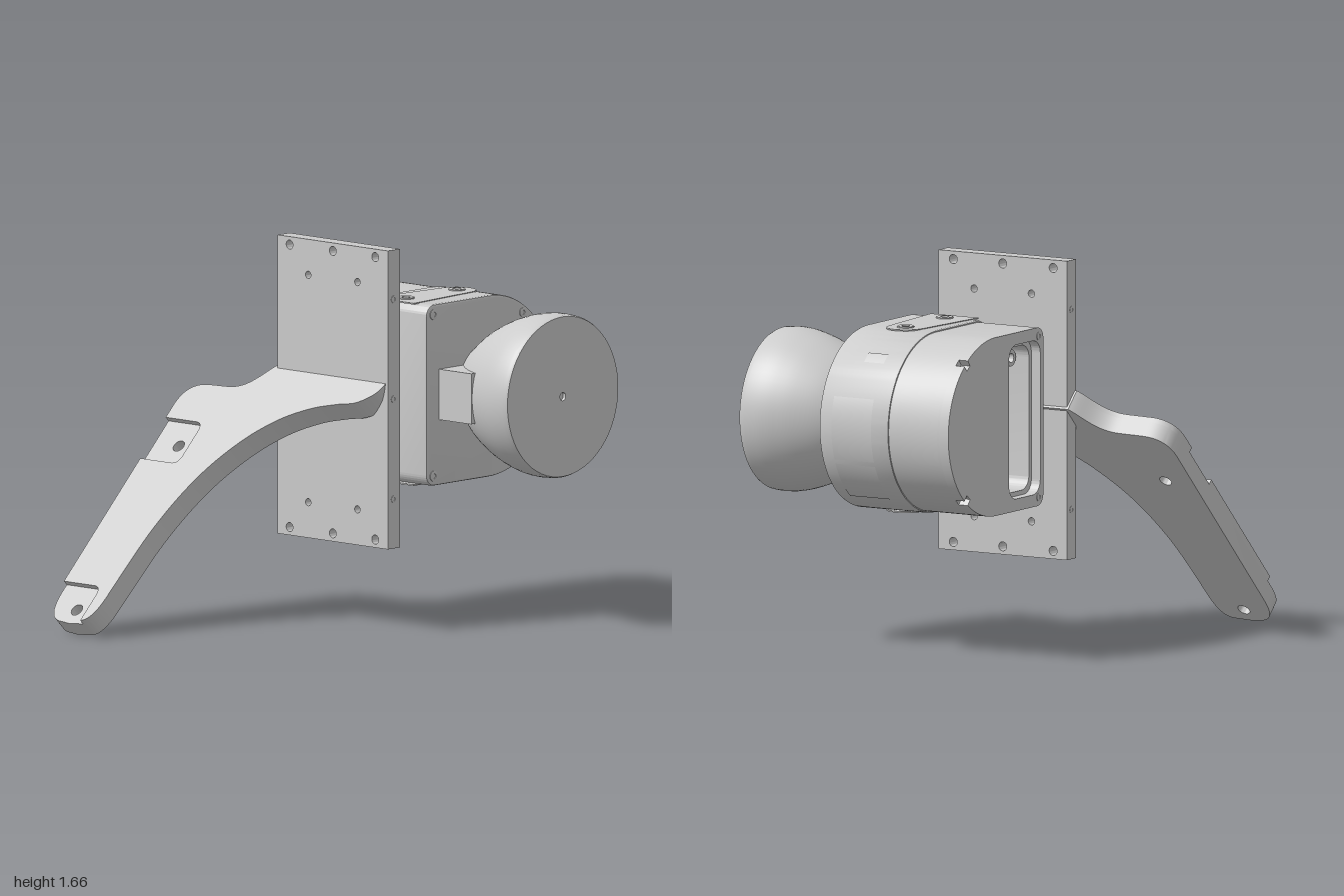
import * as THREE from 'three';
import { toCreasedNormals } from 'three/addons/utils/BufferGeometryUtils.js';

const CX = 0.6, CY = 1.015; // axis of the round housing
const material = new THREE.MeshStandardMaterial({ color: 0xcccccc, side: THREE.DoubleSide });

export function createModel() {
  const root = new THREE.Group();

  const add = (name, geometry, x = 0, y = 0, z = 0) => {
    const mesh = new THREE.Mesh(geometry, material);
    mesh.name = name;
    mesh.position.set(x, y, z);
    root.add(mesh);
    return mesh;
  };
  const extrude = (shape, depth, options = {}) => toCreasedNormals(
    new THREE.ExtrudeGeometry(shape, { depth, bevelEnabled: false, curveSegments: 28, ...options }), 0.5);
  const hole = (shape, x, y, rx, ry = rx) =>
    shape.holes.push(new THREE.Path().absellipse(x, y, rx, ry, 0, Math.PI * 2, true));

  // Socket-head fastener pointing along a direction
  const screw = (name, pos, dir, r, h) => {
    const profile = [[r, -0.005], [r, h * 0.8], [r * 0.92, h], [r * 0.5, h], [r * 0.5, h * 0.15], [0, h * 0.15]];
    const geometry = new THREE.LatheGeometry(profile.map(p => new THREE.Vector2(...p)), 20);
    const mesh = add(name, toCreasedNormals(geometry, 0.5), ...pos);
    mesh.quaternion.setFromUnitVectors(new THREE.Vector3(0, 1, 0), new THREE.Vector3(...dir));
  };

  // ---- Mounting plate with through holes ----
  const plate = new THREE.Shape();
  plate.moveTo(-0.34, 0.37).lineTo(0.31, 0.37).lineTo(0.31, 1.67).lineTo(-0.34, 1.67).closePath();
  for (const y of [0.405, 1.635]) for (const z of [0.235, -0.015, -0.27]) hole(plate, z, y, 0.02);
  for (const y of [0.525, 1.515]) for (const z of [0.13, -0.16]) hole(plate, z, y, 0.016);
  add('mountingPlate', extrude(plate, 0.075).rotateY(-Math.PI / 2), 0.065);
  for (const y of [0.585, 1.02, 1.455]) {
    screw('plateEdgeInsert', [0.027, y, 0.31], [0, 0, 1], 0.016, 0.002);
    screw('plateEdgeInsert', [0.027, y, -0.34], [0, 0, -1], 0.016, 0.002);
  }

  // ---- Sloping arm: a full layer plus a top layer with recessed hole pads ----
  const armShape = recessed => {
    const s = new THREE.Shape();
    s.moveTo(0, -0.3);
    s.splineThru([[-0.05, -0.275], [-0.093, -0.2], [-0.11, -0.1], [-0.14, 0.03], [-0.2, 0.17], [-0.3, 0.3],
      [-0.45, 0.41], [-0.65, 0.475], [-0.9, 0.495]].map(p => new THREE.Vector2(...p)));
    s.quadraticCurveTo(-1.01, 0.495, -1.017, 0.56);
    if (recessed) {
      s.lineTo(-0.92, 0.56).quadraticCurveTo(-0.885, 0.56, -0.885, 0.6).lineTo(-0.885, 0.78);
      s.lineTo(-0.405, 0.78).lineTo(-0.405, 0.6).quadraticCurveTo(-0.405, 0.56, -0.37, 0.56);
      s.lineTo(-0.28, 0.56).quadraticCurveTo(-0.245, 0.56, -0.245, 0.6).lineTo(-0.245, 0.78);
    } else {
      s.lineTo(-1.022, 0.64).lineTo(-1.018, 0.7).quadraticCurveTo(-1.01, 0.78, -0.91, 0.78);
      for (const x of [-0.97, -0.33]) hole(s, x, 0.64, 0.02, 0.028);
    }
    s.lineTo(-0.2, 0.78).quadraticCurveTo(-0.11, 0.78, -0.105, 0.66).lineTo(-0.102, 0.55);
    s.bezierCurveTo(-0.1, 0.43, -0.03, 0.4, 0, 0.35);
    s.closePath();
    return s;
  };
  // Shape x runs up the 45 degree slope, shape y runs to the back
  const normal = new THREE.Vector3(-1, 1, 0).normalize();
  const slope = new THREE.Matrix4().makeBasis(new THREE.Vector3(1, 1, 0), new THREE.Vector3(0, 0, -1), normal);
  const layer = (name, shape, depth, drop) => {
    const geometry = new THREE.ExtrudeGeometry(shape, { depth, bevelEnabled: false, curveSegments: 16 });
    const o = normal.clone().multiplyScalar(-drop);
    add(name, toCreasedNormals(geometry.applyMatrix4(slope), 0.5), o.x, 1.1 + o.y, 0);
  };
  layer('arm', armShape(false), 0.078, 0.103);
  layer('armTopLayer', armShape(true), 0.025, 0.025);

  // ---- D-shaped housing ----
  const housingShape = (R, x0, notched) => {
    const s = new THREE.Shape(), c = 0.05, H = Math.PI / 2;
    s.moveTo(CX, CY - R);
    if (notched) {
      const a = 0.9, d = 0.045, inner = R - 0.03;
      s.absarc(CX, CY, R, -H, -a - d).absarc(CX, CY, inner, -a - d, -a + d);
      s.absarc(CX, CY, R, -a + d, a - d).absarc(CX, CY, inner, a - d, a + d).absarc(CX, CY, R, a + d, H);
    } else s.absarc(CX, CY, R, -H, H);
    s.absarc(x0 + c, CY + R - c, c, H, 2 * H);
    s.absarc(x0 + c, CY - R + c, c, 2 * H, 3 * H);
    s.closePath();
    return s;
  };
  const opening = (shape, inset) => {
    const [x0, x1, y0, y1] = [0.235 + inset, 0.49 - inset, 0.68 + inset, 1.35 - inset];
    const r = 0.06, H = Math.PI / 2, p = new THREE.Path();
    p.absarc(x1 - r, y1 - r, r, H, 0, true).absarc(x1 - r, y0 + r, r, 0, -H, true);
    p.absarc(x0 + r, y0 + r, r, -H, -2 * H, true).absarc(x0 + r, y1 - r, r, 2 * H, H, true);
    p.closePath();
    shape.holes.push(p);
    return shape;
  };
  add('frontHousing', extrude(housingShape(0.395, 0.2), 0.33,
    { bevelEnabled: true, bevelSize: 0.01, bevelThickness: 0.01, bevelOffset: -0.01, bevelSegments: 2 }), 0, 0, 0);
  add('rearHousing', extrude(opening(housingShape(0.388, 0.21), 0.02), 0.27), 0, 0, -0.265);
  add('rearRim', extrude(opening(housingShape(0.388, 0.21, true), 0), 0.045), 0, 0, -0.31);

  // Parts inside the rear opening
  add('connectorBar', new THREE.BoxGeometry(0.04, 0.26, 0.18), 0.35, 1.08, -0.1);
  add('connectorBar', new THREE.BoxGeometry(0.025, 0.3, 0.14), 0.27, 1.0, -0.08);
  for (const [x, y] of [[0.43, 0.76], [0.31, 1.27]]) screw('cavityBoss', [x, y, -0.01], [0, 0, -1], 0.04, 0.2);

  // Curved panels and tabs on the round side
  const patch = (name, r, z0, z1, y0, y1) => {
    const a0 = Math.asin((y0 - CY) / r), a1 = Math.asin((y1 - CY) / r);
    const geometry = new THREE.CylinderGeometry(r, r, z1 - z0, 14, 1, true, a0 + Math.PI / 2, a1 - a0);
    add(name, geometry.rotateX(Math.PI / 2), CX, CY, (z0 + z1) / 2);
  };
  patch('sidePanel', 0.398, 0.075, 0.275, 0.875, 1.15);
  patch('sidePanel', 0.398, 0.075, 0.275, 0.7, 0.855);
  patch('sidePanel', 0.391, -0.255, -0.05, 0.885, 1.15);
  patch('sideTab', 0.399, 0.08, 0.18, 1.295, 1.33);

  // Tapered straps with two screws, top and bottom
  const strap = new THREE.Shape();
  strap.moveTo(0.2, 0.025).lineTo(0.6, 0.06).bezierCurveTo(0.71, 0.07, 0.71, 0.22, 0.6, 0.23);
  strap.lineTo(0.2, 0.265).closePath();
  for (const side of [1, -1]) {
    const y = CY + side * 0.395;
    const geometry = extrude(strap, 0.006).rotateX(Math.PI / 2);
    add('strap', geometry, 0, y + 0.003, 0);
    for (const x of [0.28, 0.6]) screw('strapScrew', [x, y, 0.145], [0, side, 0], 0.037, 0.01);
  }

  // Corner screws, front and rear
  for (const side of [1, -1]) {
    screw('frontScrew', [0.245, CY + side * 0.352, 0.34], [0, 0, 1], 0.023, 0.004);
    screw('frontScrew', [0.805, CY + side * 0.298, 0.34], [0, 0, 1], 0.02, 0.004);
    screw('rearScrew', [0.247, CY + side * 0.35, -0.31], [0, 0, -1], 0.018, 0.003);
  }

  // ---- Bell-shaped front head and its neck block ----
  const curve = new THREE.SplineCurve([[0.19, 0.325], [0.265, 0.43], [0.315, 0.53], [0.342, 0.61], [0.354, 0.67],
    [0.356, 0.72], [0.353, 0.76]].map(p => new THREE.Vector2(...p)));
  const profile = [...curve.getPoints(24), ...[[0.348, 0.77], [0.018, 0.77], [0.018, 0.755], [0, 0.755]]
    .map(p => new THREE.Vector2(...p))];
  const head = new THREE.LatheGeometry(profile, 64).rotateX(Math.PI / 2);
  add('head', toCreasedNormals(head, 0.5), CX, CY, 0);
  add('neckBlock', new THREE.BoxGeometry(0.24, 0.22, 0.2), 0.4, CY, 0.43);

  return root;
}
